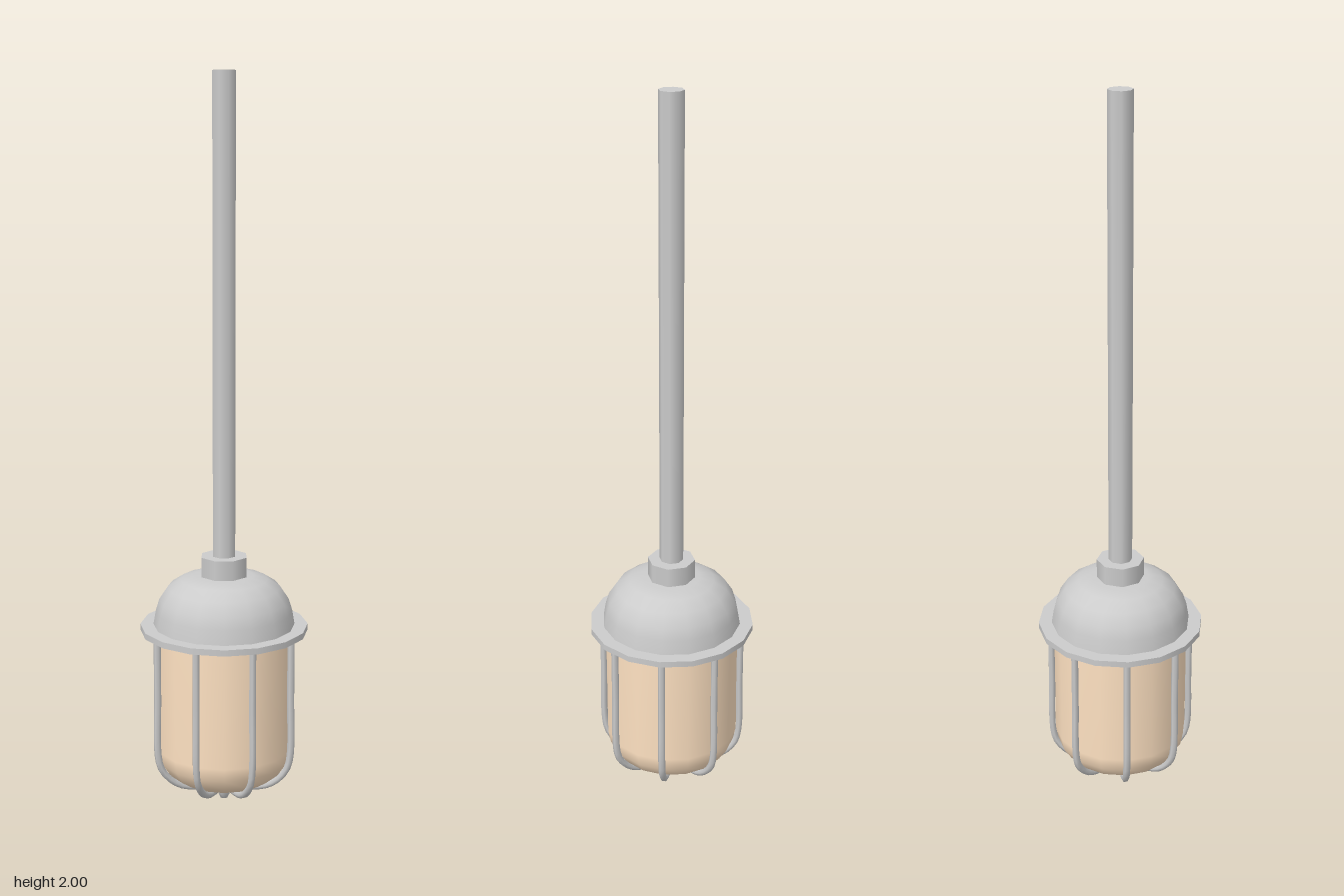
import * as THREE from 'three';

const grey = new THREE.MeshStandardMaterial({ color: 0xcccccc });
const glass = new THREE.MeshStandardMaterial({ color: 0xffe2c2 });

export function createModel() {
  const group = new THREE.Group();
  const add = (name, geometry, material = grey) => {
    const mesh = new THREE.Mesh(geometry, material);
    mesh.name = name;
    group.add(mesh);
    return mesh;
  };
  const cylinder = (name, radius, y0, y1, sides) => {
    const mesh = add(name, new THREE.CylinderGeometry(radius, radius, y1 - y0, sides));
    mesh.position.y = (y0 + y1) / 2;
  };
  // Profiles run from bottom to top
  const lathe = (name, profile, sides, material) =>
    add(name, new THREE.LatheGeometry(profile.map(([r, y]) => new THREE.Vector2(r, y)), sides), material);

  // Hanging rod, collar and flange
  cylinder('rod', 0.033, 0.7, 2, 8);
  cylinder('collar', 0.066, 0.645, 0.71, 8);
  cylinder('flange', 0.231, 0.499, 0.516, 16);

  // Domed cap
  lathe('cap', [[0.195, 0.514], [0.188, 0.555], [0.178, 0.587], [0.155, 0.622],
    [0.12, 0.645], [0.08, 0.655], [0, 0.656]], 16);

  // Glass jar with a rounded bottom
  lathe('glass', [[0, 0.058], [0.08, 0.06], [0.125, 0.071], [0.16, 0.094],
    [0.182, 0.128], [0.189, 0.165], [0.189, 0.505]], 16, glass);

  // Cage of eight wires meeting under the jar
  const path = new THREE.CatmullRomCurve3([[0.197, 0.505], [0.197, 0.33], [0.197, 0.16], [0.187, 0.118],
    [0.16, 0.083], [0.125, 0.061], [0.08, 0.051], [0, 0.047]].map(([r, y]) => new THREE.Vector3(r, y, 0)));
  const wire = new THREE.TubeGeometry(path, 28, 0.01, 6);
  for (let i = 0; i < 8; i++) add('cageWire', wire).rotation.y = (i * Math.PI) / 4;

  // Pointed finial where the wires meet
  lathe('finial', [[0, 0], [0.01, 0.004], [0.017, 0.018], [0.025, 0.042], [0.022, 0.056], [0, 0.058]], 8);

  return group;
}
